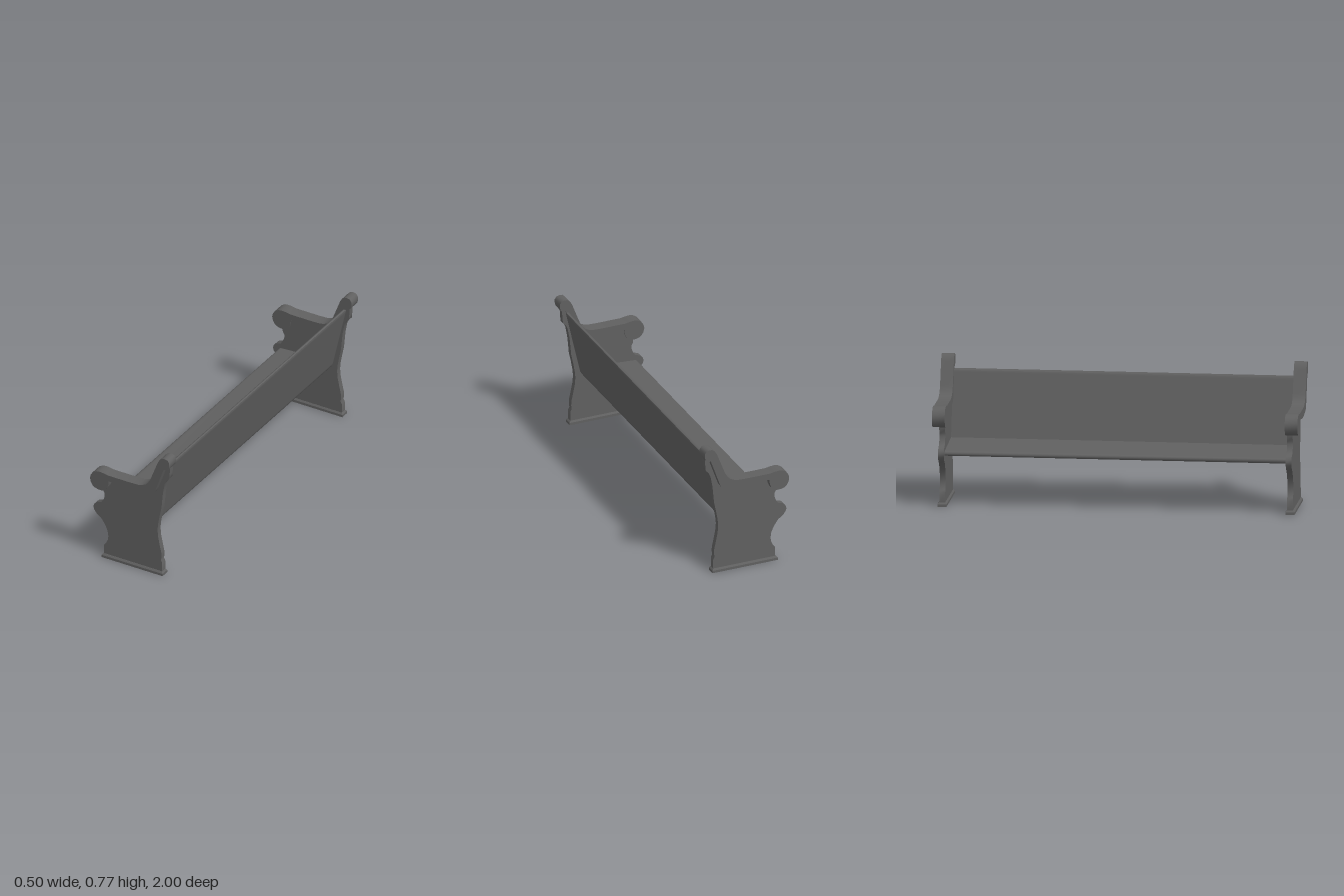
import * as THREE from 'three';
import { toCreasedNormals } from 'three/addons/utils/BufferGeometryUtils.js';

const material = new THREE.MeshStandardMaterial({ color: 0x606060 });

// Extrudes an x/y outline between two z positions
function slab(name, points, z0, z1) {
  const shape = new THREE.Shape(points.map(([x, y]) => new THREE.Vector2(x, y)));
  const geometry = new THREE.ExtrudeGeometry(shape, { depth: z1 - z0, bevelEnabled: false });
  geometry.translate(0, 0, z0);
  const mesh = new THREE.Mesh(toCreasedNormals(geometry, 0.8), material);
  mesh.name = name;
  return mesh;
}

// Arm rail: front scroll, underside, top knob, then back along the upper edge
const railOutline = [
  [-0.14, 0.551], [-0.165, 0.556], [-0.19, 0.558], [-0.213, 0.555], [-0.235, 0.541],
  [-0.248, 0.52], [-0.252, 0.5], [-0.247, 0.478], [-0.236, 0.459], [-0.22, 0.448],
  [-0.2, 0.443], [-0.175, 0.443], [-0.157, 0.45], [-0.145, 0.465], [-0.137, 0.485],
  [-0.133, 0.514], [-0.11, 0.514], [-0.05, 0.506], [0, 0.501], [0.05, 0.503],
  [0.1, 0.51], [0.14, 0.52], [0.155, 0.535], [0.165, 0.56], [0.19, 0.63],
  [0.215, 0.7], [0.235, 0.7], [0.246, 0.712], [0.25, 0.73], [0.25, 0.75],
  [0.24, 0.765], [0.222, 0.77], [0.205, 0.768], [0.19, 0.755], [0.178, 0.735],
  [0.13, 0.61], [0.115, 0.585], [0.1, 0.57], [0.08, 0.56], [0.055, 0.553], [0, 0.551],
];

// End panel: wavy back edge going up, hidden top, scalloped front edge going down
const panelOutline = [
  [-0.183, 0.015], [0.186, 0.015], [0.186, 0.077], [0.178, 0.092], [0.181, 0.115],
  [0.18, 0.14], [0.17, 0.185], [0.16, 0.235], [0.156, 0.28], [0.16, 0.32],
  [0.17, 0.375], [0.181, 0.425], [0.186, 0.48], [0.191, 0.53], [0.202, 0.588],
  [0.213, 0.613], [0.23, 0.63], [0.233, 0.66], [0.236, 0.71],
  [0.21, 0.72], [0.15, 0.58], [0.11, 0.535], [-0.16, 0.535], [-0.2, 0.5],
  [-0.188, 0.445], [-0.188, 0.425], [-0.178, 0.405], [-0.178, 0.39], [-0.184, 0.37],
  [-0.199, 0.344], [-0.23, 0.334], [-0.245, 0.318], [-0.25, 0.3], [-0.245, 0.284],
  [-0.229, 0.262], [-0.202, 0.244], [-0.176, 0.208], [-0.16, 0.172], [-0.155, 0.14],
  [-0.159, 0.115], [-0.169, 0.094], [-0.183, 0.077],
];

// Plinth with a chamfered upper edge, lofted from rectangular sections
function plinth() {
  const levels = [[0, 0.194, 0.025], [0.014, 0.194, 0.025], [0.023, 0.186, 0.018]];
  const group = new THREE.Group();
  group.name = 'plinth';
  for (let i = 0; i < 2; i++) {
    const [y0, hx0, hz0] = levels[i], [y1, hx1, hz1] = levels[i + 1];
    const geometry = new THREE.BoxGeometry(2, 1, 2);
    const p = geometry.attributes.position;
    for (let v = 0; v < p.count; v++) {
      const top = p.getY(v) > 0;
      p.setXYZ(v, p.getX(v) * (top ? hx1 : hx0), top ? y1 : y0, p.getZ(v) * (top ? hz1 : hz0));
    }
    geometry.computeVertexNormals();
    const mesh = new THREE.Mesh(geometry, material);
    mesh.name = i ? 'plinthChamfer' : 'plinthBase';
    group.add(mesh);
  }
  return group;
}

export function createModel() {
  const model = new THREE.Group();
  model.name = 'bench';

  // Two matching ends, mirrored in z
  for (const side of [1, -1]) {
    const end = new THREE.Group();
    end.name = side > 0 ? 'leftEnd' : 'rightEnd';
    const span = (a, b) => (side > 0 ? [a, b] : [-b, -a]);
    end.add(slab('endPanel', panelOutline, ...span(0.935, 0.967)));
    end.add(slab('armRail', railOutline, ...span(0.93, 1)));
    const foot = plinth();
    foot.position.z = side * 0.952;
    end.add(foot);
    model.add(end);
  }

  // Seat and sloping back as one bent board; extra points beside each bend keep the flats flat
  const boardOutline = [
    [-0.2, 0.286], [-0.19, 0.286], [0.085, 0.287], [0.095, 0.287], [0.11, 0.291],
    [0.121, 0.3], [0.128, 0.315], [0.1303, 0.325], [0.2097, 0.672], [0.212, 0.682],
    [0.211, 0.689], [0.206, 0.692], [0.198, 0.69], [0.194, 0.684], [0.1911, 0.674],
    [0.09, 0.33], [-0.19, 0.3135], [-0.2, 0.313], [-0.208, 0.309], [-0.212, 0.3],
    [-0.208, 0.29],
  ];
  model.add(slab('seatAndBack', boardOutline, -0.938, 0.938));
  return model;
}
